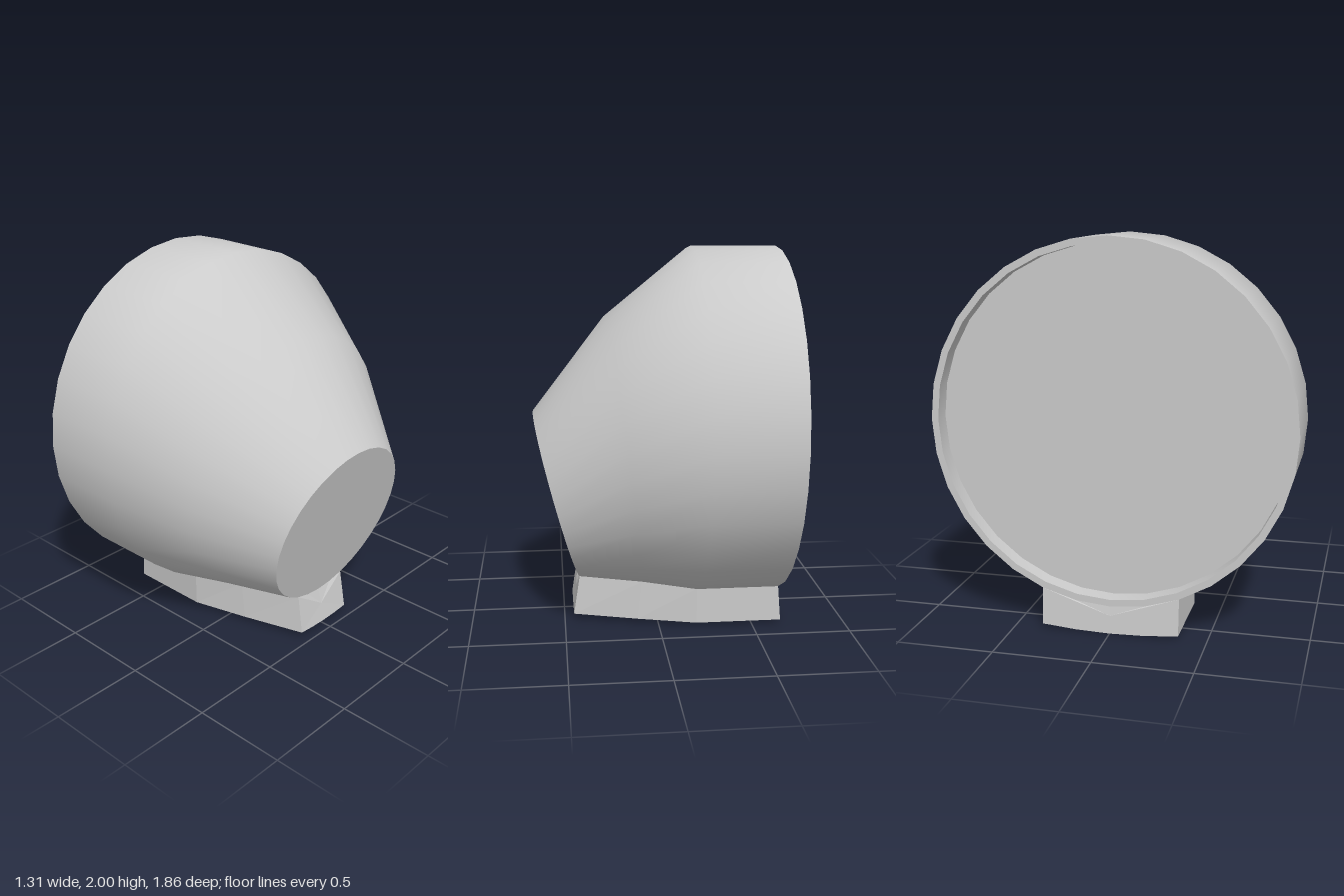
import * as THREE from 'three';
import { mergeGeometries } from 'three/addons/utils/BufferGeometryUtils.js';

const SEGMENTS = 32;

// Point on a tilted ring, angle measured from the top toward +z
const ringPoint = ({ x, y, lean, h, r }, a) =>
  [x + lean * Math.cos(a), y + h * Math.cos(a), r * Math.sin(a)];

const ring = (s) => Array.from({ length: SEGMENTS }, (_, i) => ringPoint(s, (i / SEGMENTS) * Math.PI * 2));

// Skin joining closed loops of equal point count
function loft(loops) {
  const n = loops[0].length, index = [];
  for (let i = 0; i < loops.length - 1; i++) {
    for (let j = 0; j < n; j++) {
      const a = i * n + j, b = i * n + (j + 1) % n;
      index.push(a, b, a + n, b, b + n, a + n);
    }
  }
  const g = new THREE.BufferGeometry();
  g.setAttribute('position', new THREE.Float32BufferAttribute(loops.flat(2), 3));
  g.setIndex(index);
  g.computeVertexNormals();
  return g;
}

// Loop collapsed to its centre, used to close an end
function collapse(loop) {
  const c = [0, 1, 2].map((k) => loop.reduce((s, p) => s + p[k], 0) / loop.length);
  return loop.map(() => c);
}

export function createModel() {
  const group = new THREE.Group();
  const material = new THREE.MeshStandardMaterial({ color: 0xcccccc });
  const flat = new THREE.MeshStandardMaterial({ color: 0xcccccc, flatShading: true });
  const add = (name, geometry, mat) => {
    const mesh = new THREE.Mesh(geometry, mat);
    mesh.name = name;
    group.add(mesh);
  };

  // Ring stations from the wide opening to the slanted small end
  const stations = [
    { x: -0.647, y: 1.07, lean: -0.008, h: 0.93, r: 0.93 },
    { x: -0.2, y: 1.07, lean: 0, h: 0.93, r: 0.93 },
    { x: 0.17, y: 0.905, lean: 0.09, h: 0.725, r: 0.73 },
    { x: 0.53, y: 0.665, lean: 0.122, h: 0.457, r: 0.47 },
  ];
  const shell = stations.map(ring);
  add('housing', loft(shell), material);
  add('smallEndCap', loft([shell[3], collapse(shell[3])]), flat);

  // Rim and recessed disc in the wide opening
  const inner = ring({ ...stations[0], h: 0.895, r: 0.895 });
  const deep = inner.map(([x, y, z]) => [x + 0.09, y, z]);
  add('rim', mergeGeometries([loft([deep, inner]), loft([inner, shell[0]])]), material);
  add('recessedDisc', loft([collapse(deep), deep]), flat);

  // Foot: follows the underside of the housing, down to a shallow curved sole
  const soles = [
    { x: -0.655, edge: 0.02, mid: 0, half: 0.355 },
    { x: -0.2, edge: 0.02, mid: 0, half: 0.355 },
    { x: 0.11, edge: 0.025, mid: 0.01, half: 0.28 },
    { x: 0.45, edge: 0.03, mid: 0.02, half: 0.185 },
  ];
  const steps = [-1, -0.5, 0, 0.5, 1];
  const sections = soles.map((s, i) => [
    ...steps.map((t) => ringPoint(stations[i], Math.PI - t * Math.PI / 8)),
    ...steps.map((t) => [s.x, s.mid + (s.edge - s.mid) * t * t, -t * s.half]),
  ]);
  add('foot', loft([collapse(sections[0]), ...sections, collapse(sections[3])]), flat);

  return group;
}
